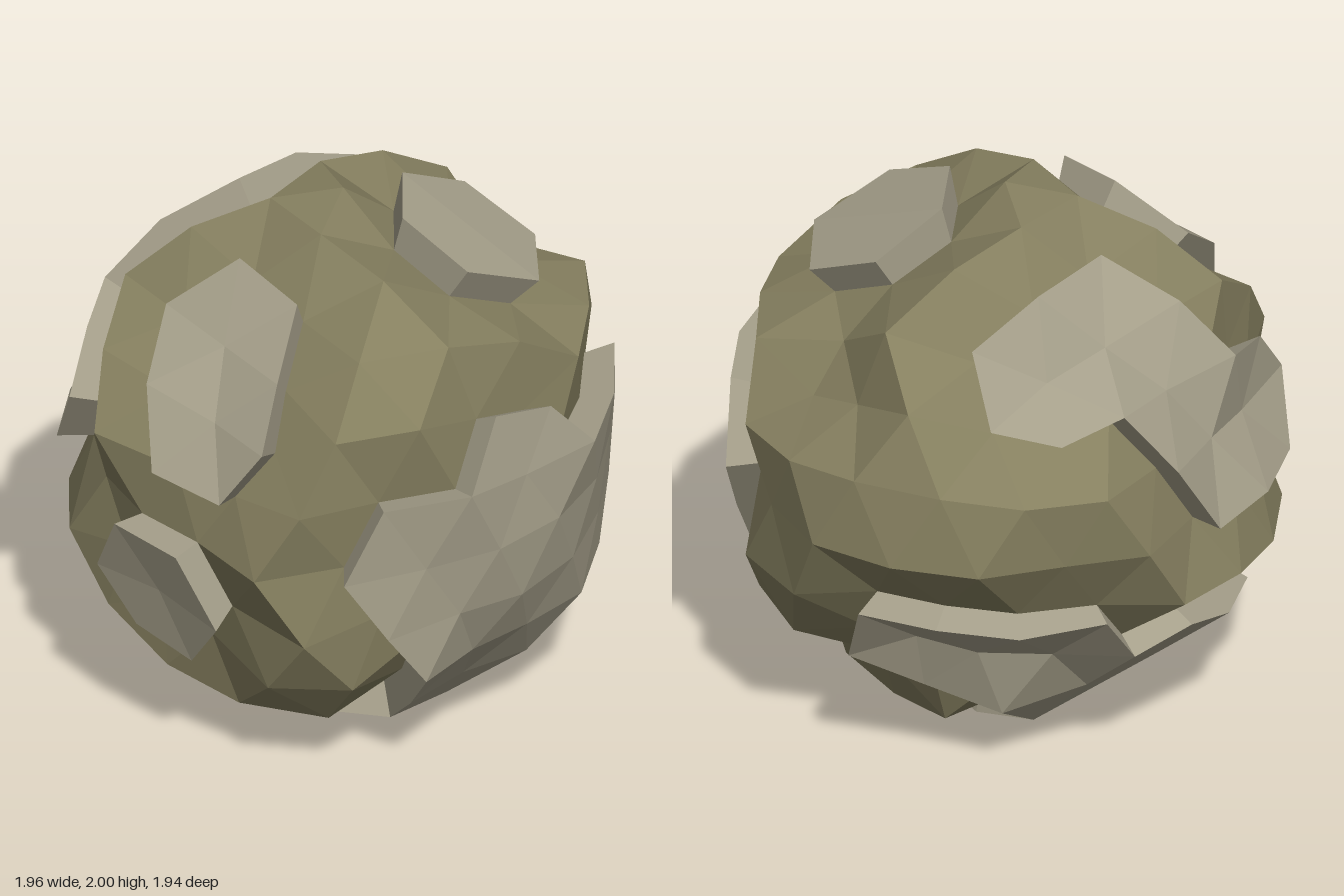
import * as THREE from 'three';

const LAND = 1.01, RIM = 1.0, VALLEY = 0.87;

// Raised plates: radius of their sunken cell centres, and the cells as
// [height on the unit sphere, azimuths in degrees from +x towards +z]
const PLATES = {
  greatPlate: [0.93, [
    [0.26, 81], [0, 108, 90, 72, 54, 36], [-0.26, 99, 81, 63, 45],
    [-0.5, 90, 72, 324, 306, 288], [-0.7, 84, 274.4, 252, 230],
    [-0.87, 216, 252], [-0.968, 108, 180, 252], [-1, 0],
  ]],
  backPlate: [0.88, [[0.7, 288, 266], [0.5, 252], [0.26, 243, 225]]],
  topPlate: [0.97, [[0.89, 36]]],
  shoulderPlate: [0.93, [[0.72, 166.4], [0.5, 162]]],
  sidePlate: [0.94, [[-0.26, 171]]],
};
// Extra low ground away from the plates
const GULLY = [[-0.7, 36, 13.6, 346.4], [0.66, 0], [0.447, 0], [0.5, 342], [0, 198]];

// Bumps and dents: outer radius of single points that leave the general level
const BUMPS = [
  [1.06, [[-0.85, 36]]],
  [1.04, [[0.5, 18], [0.447, 144], [-0.447, 108]]],
  [1.02, [[1, 0], [0.968, 0, 72], [0.85, 72], [0.7, 58.4], [0, 144, 306, 324, 342], [0.26, 63]]],
  [1.01, [[-0.968, 36, 324]]],
  [0.99, [[0, 270, 180]]],
  [0.97, [[-0.26, 279, 27], [-0.5, 270, 252], [-0.89, 144], [0.72, 193.6]]],
  [0.95, [[0, 0, 288], [-0.66, 324]]],
  [0.88, [[-0.5, 306, 288], [-0.447, 324]]],
];

// Shared grid: subdivided icosahedron turned so a corner points up
function buildGrid() {
  const geo = new THREE.IcosahedronGeometry(1, 3);
  geo.rotateZ(-Math.atan(2 / (1 + Math.sqrt(5))));
  const pos = geo.attributes.position, points = [], faces = [];
  const indexOf = (p) => {
    let i = points.findIndex((q) => q.distanceTo(p) < 0.02);
    if (i < 0) i = points.push(p) - 1;
    return i;
  };
  for (let i = 0; i < pos.count; i += 3) {
    faces.push([0, 1, 2].map((k) => indexOf(new THREE.Vector3().fromBufferAttribute(pos, i + k))));
  }
  return { points, faces };
}

// Nearest grid points to the listed directions
function pick(points, rows) {
  const found = new Set();
  for (const [y, ...azimuths] of rows) {
    for (const deg of azimuths) {
      const a = THREE.MathUtils.degToRad(deg), r = Math.sqrt(1 - y * y);
      const d = new THREE.Vector3(r * Math.cos(a), y, r * Math.sin(a));
      let best = 0;
      points.forEach((p, i) => { if (p.dot(d) > points[best].dot(d)) best = i; });
      found.add(best);
    }
  }
  return found;
}

function facetMesh(name, corners, material) {
  const geo = new THREE.BufferGeometry().setFromPoints(corners);
  geo.computeVertexNormals();
  const mesh = new THREE.Mesh(geo, material);
  mesh.name = name;
  return mesh;
}

export function createModel() {
  const group = new THREE.Group();
  group.name = 'rockyBall';
  const ground = new THREE.MeshStandardMaterial({ color: 0x857f5f, flatShading: true });
  const stone = new THREE.MeshStandardMaterial({ color: 0xa59f8a, flatShading: true });
  const { points, faces } = buildGrid();
  const at = (i, r) => points[i].clone().multiplyScalar(r);
  const low = pick(points, GULLY);
  const bumps = new Map();
  for (const [r, rows] of BUMPS) pick(points, rows).forEach((i) => bumps.set(i, r));
  const outer = (i, r) => at(i, bumps.get(i) ?? r);

  // Raised plates: outer faces plus a wall along every open edge
  for (const [name, [core, rows]] of Object.entries(PLATES)) {
    const cells = pick(points, rows);
    const tops = faces.filter((f) => f.some((i) => cells.has(i)));
    const edges = new Set();
    const corners = [];
    for (const f of tops) {
      f.forEach((a, k) => {
        low.add(a);
        edges.add(a + '_' + f[(k + 1) % 3]);
        corners.push(outer(a, cells.has(a) ? core : RIM));
      });
    }
    for (const e of edges) {
      const [a, b] = e.split('_').map(Number);
      if (edges.has(b + '_' + a)) continue;
      const a1 = outer(a, RIM), b1 = outer(b, RIM), a0 = at(a, VALLEY), b0 = at(b, VALLEY);
      corners.push(a1, a0, b0, a1, b0, b1);
    }
    group.add(facetMesh(name, corners, stone));
  }

  // Ground: high land that drops to valleys around the plates
  const land = faces.flatMap((f) => f.map((i) => (low.has(i) ? at(i, VALLEY) : outer(i, LAND))));
  group.add(facetMesh('ground', land, ground));

  for (const part of group.children) part.position.set(0, 0.98, 0.025);
  return group;
}
